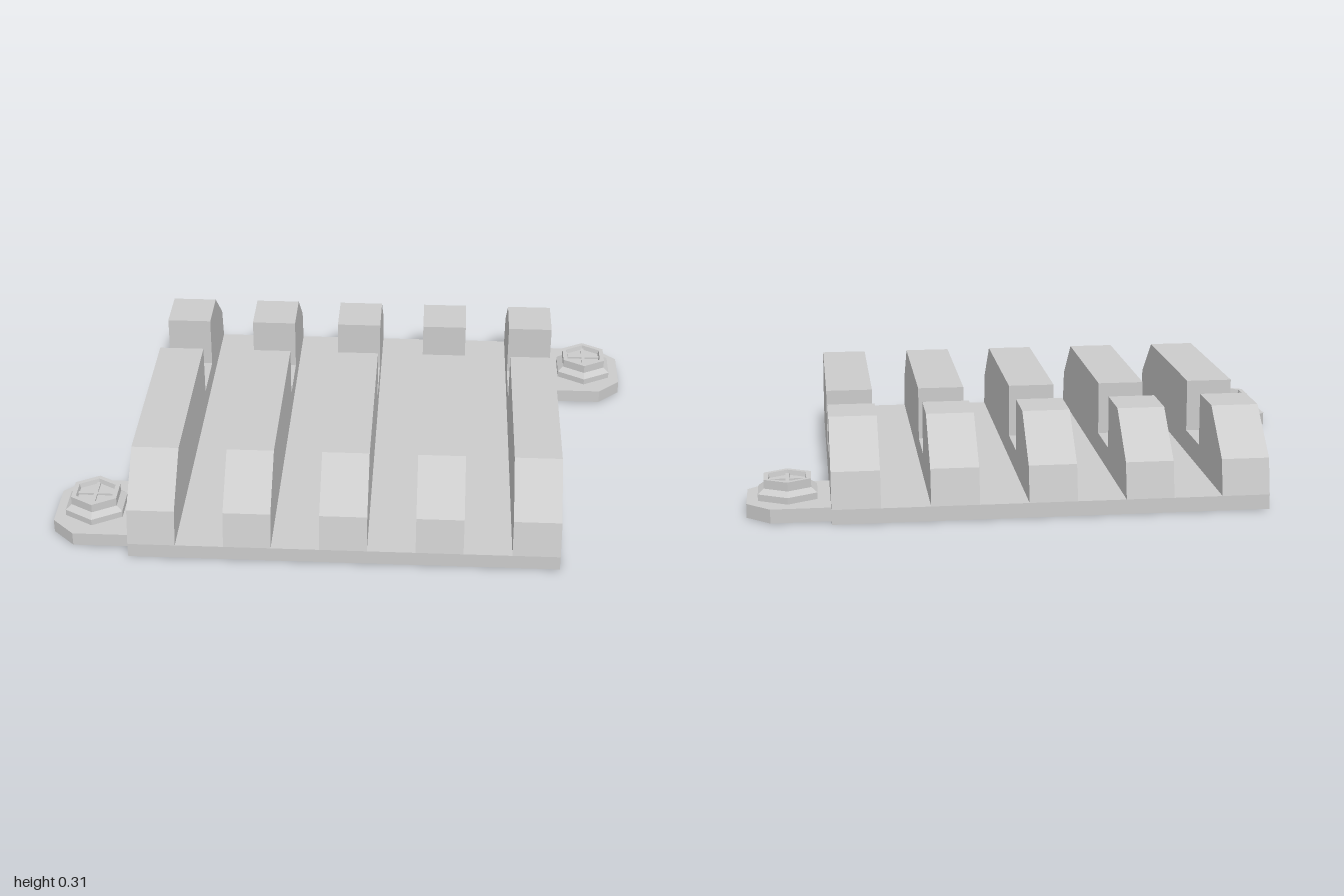
import * as THREE from 'three';

const grey = new THREE.MeshStandardMaterial({ color: 0xcccccc, flatShading: true, side: THREE.DoubleSide });

function add(parent, name, geometry) {
  const mesh = new THREE.Mesh(geometry, grey);
  mesh.name = name;
  parent.add(mesh);
  return mesh;
}

// Rib outline as [z, y], from the front foot over the top to the back foot
const ribProfile = [
  [0.725, 0.05], [0.7, 0.17], [0.53, 0.313], [-0.145, 0.313], [-0.145, 0.13],
  [-0.355, 0.13], [-0.355, 0.313], [-0.53, 0.313], [-0.7, 0.17], [-0.725, 0.05],
];
const slabProfile = [[0.725, 0], [0.725, 0.05], [-0.725, 0.05], [-0.725, 0]];

// Sheet that follows a [z, y] profile between two x positions
function ribbon(profile, x0, x1) {
  const pos = [];
  for (let i = 0; i < profile.length - 1; i++) {
    const [za, ya] = profile[i], [zb, yb] = profile[i + 1];
    pos.push(x0, ya, za, x1, ya, za, x1, yb, zb);
    pos.push(x0, ya, za, x1, yb, zb, x0, yb, zb);
  }
  const g = new THREE.BufferGeometry();
  g.setAttribute('position', new THREE.Float32BufferAttribute(pos, 3));
  g.computeVertexNormals();
  return g;
}

// Flat wall filling a [z, y] profile; side = 1 faces +x, -1 faces -x
function wall(profile, x, side) {
  const shape = new THREE.Shape(profile.map(([z, y]) => new THREE.Vector2(-side * z, y)));
  const g = new THREE.ShapeGeometry(shape);
  g.rotateY(side * Math.PI / 2);
  g.translate(x, 0, 0);
  return g;
}

// Hexagonal flanged bolt with a recessed top and a cross inside
function makeBolt() {
  const bolt = new THREE.Group();
  bolt.name = 'bolt';
  const profile = [
    [0.113, 0], [0.113, 0.022], [0.09, 0.038], [0.09, 0.068],
    [0.072, 0.068], [0.068, 0.052], [0, 0.052],
  ].map(([r, y]) => new THREE.Vector2(r, y));
  add(bolt, 'boltHead', new THREE.LatheGeometry(profile, 6));
  for (const [w, d] of [[0.122, 0.012], [0.012, 0.128]]) {
    add(bolt, 'boltCross', new THREE.BoxGeometry(w, 0.008, d)).position.y = 0.055;
  }
  return bolt;
}

// Mounting lug with clipped outer corners, reaching out along +x
function makeLug() {
  const lug = new THREE.Group();
  lug.name = 'mountingLug';
  const shape = new THREE.Shape([
    [0.725, -0.163], [0.922, -0.163], [1, -0.088], [1, 0.088], [0.922, 0.163], [0.725, 0.163],
  ].map(([x, y]) => new THREE.Vector2(x, y)));
  const plate = new THREE.ExtrudeGeometry(shape, { depth: 0.047, bevelEnabled: false });
  plate.rotateX(-Math.PI / 2);
  add(lug, 'lugPlate', plate);
  const bolt = makeBolt();
  bolt.position.set(0.865, 0.047, 0);
  lug.add(bolt);
  return lug;
}

export function createModel() {
  const model = new THREE.Group();
  model.name = 'ribbedPanel';

  // Hollow ribs, open underneath
  const pitch = 0.3225, half = 0.08;
  for (let i = -2; i <= 2; i++) {
    const x = i * pitch;
    const rib = new THREE.Group();
    rib.name = 'rib';
    add(rib, 'ribCover', ribbon(ribProfile, x - half, x + half));
    for (const side of [-1, 1]) add(rib, 'ribWall', wall(ribProfile, x + side * half, side));
    // Low front and back edges under the rib
    add(rib, 'frontEdge', ribbon(slabProfile.slice(0, 2), x - half, x + half));
    add(rib, 'backEdge', ribbon(slabProfile.slice(2), x - half, x + half));
    model.add(rib);
  }

  // Floor channels between the ribs
  for (let i = -2; i < 2; i++) {
    add(model, 'channelFloor', ribbon(slabProfile, i * pitch + half, (i + 1) * pitch - half));
  }

  // Low outer sides of the base
  for (const side of [-1, 1]) add(model, 'baseSide', wall(slabProfile, side * 0.725, side));

  // Two lugs at opposite corners
  const leftLug = makeLug();
  leftLug.position.z = -0.522;
  const rightLug = makeLug();
  rightLug.rotation.y = Math.PI;
  rightLug.position.z = 0.507;
  model.add(leftLug, rightLug);

  return model;
}
